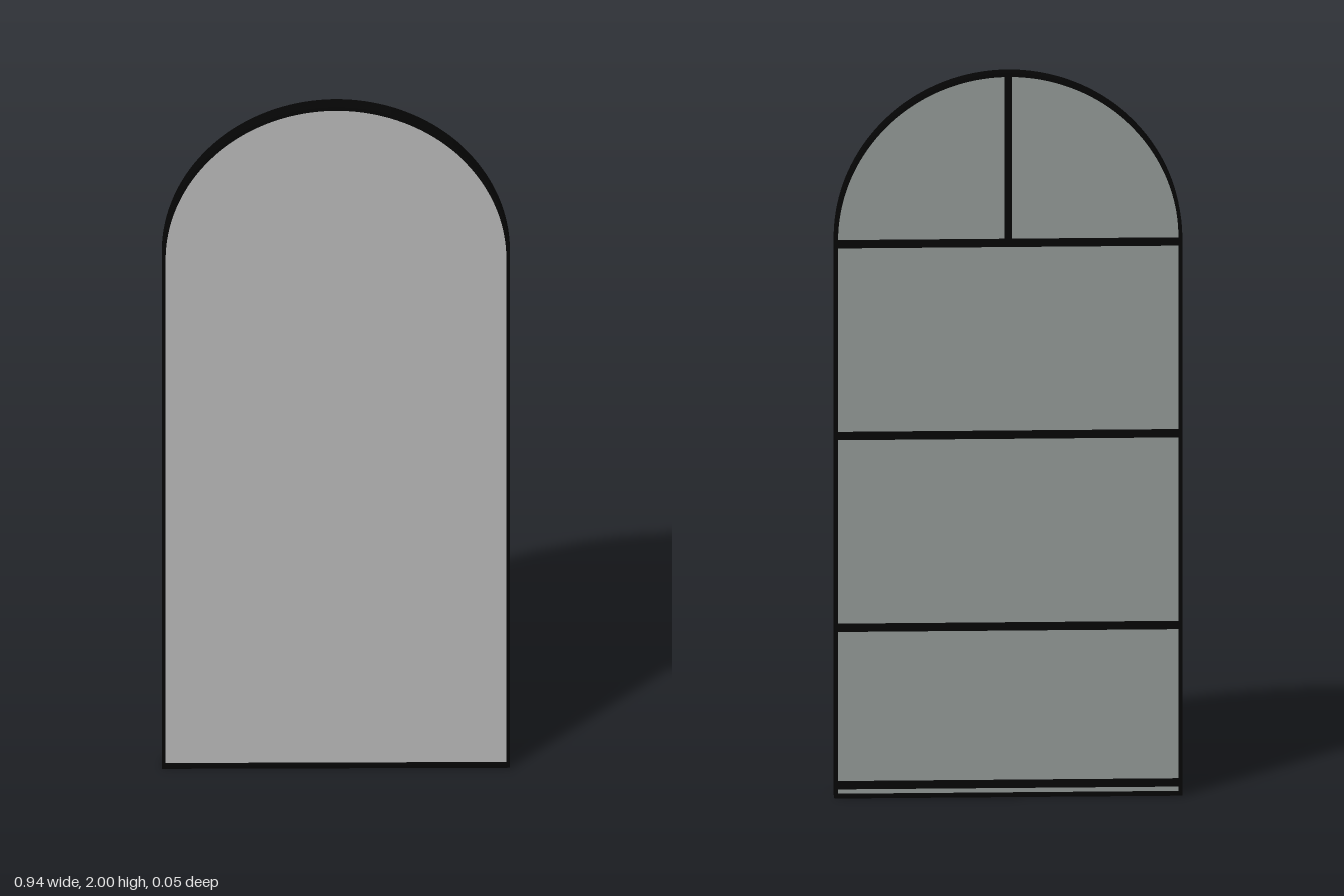
import * as THREE from 'three';

const HALF_W = 0.47, SPRING = 1.54, TOP = 2, DEPTH = 0.05, RIM = 0.01;

// Arched outline, inset evenly from the outer edge
function archOutline(inset, Type = THREE.Shape) {
  const w = HALF_W - inset;
  const s = new Type();
  s.moveTo(-w, inset);
  s.lineTo(w, inset);
  s.lineTo(w, SPRING);
  s.absellipse(0, SPRING, w, TOP - SPRING - inset, 0, Math.PI, false, 0);
  s.closePath();
  return s;
}

function extrude(shape, z0, z1) {
  const g = new THREE.ExtrudeGeometry(shape, { depth: z1 - z0, bevelEnabled: false, curveSegments: 64 });
  return g.translate(0, 0, z0);
}

export function createModel() {
  const group = new THREE.Group();
  const black = new THREE.MeshStandardMaterial({ color: 0x050505 });
  const glass = new THREE.MeshStandardMaterial({ color: 0xb4b4b4 });
  const board = new THREE.MeshStandardMaterial({ color: 0x8f9593 });

  const add = (name, geometry, material) => {
    const mesh = new THREE.Mesh(geometry, material);
    mesh.name = name;
    group.add(mesh);
    return mesh;
  };

  // Thin arched frame
  const ring = archOutline(0);
  ring.holes.push(archOutline(RIM, THREE.Path));
  add('frame', extrude(ring, -DEPTH / 2, DEPTH / 2), black);

  // Recessed front pane and backing board
  const inner = archOutline(RIM);
  add('mirrorPane', extrude(inner, 0, 0.01), glass);
  add('backBoard', extrude(inner, -0.01, 0), board);

  // Horizontal braces across the back
  const barH = 0.02, barZ0 = -DEPTH / 2 + 0.001, barZ1 = -0.008;
  const barD = barZ1 - barZ0, barZ = (barZ0 + barZ1) / 2;
  for (const y of [0.035, 0.47, 1.0, 1.53]) {
    add('backBrace', new THREE.BoxGeometry(2 * (HALF_W - RIM / 2), barH, barD), black)
      .position.set(0, y, barZ);
  }

  // Upright brace inside the arch
  const y0 = 1.53, y1 = TOP - RIM / 2;
  add('archBrace', new THREE.BoxGeometry(0.02, y1 - y0, barD), black)
    .position.set(0, (y0 + y1) / 2, barZ);

  return group;
}
